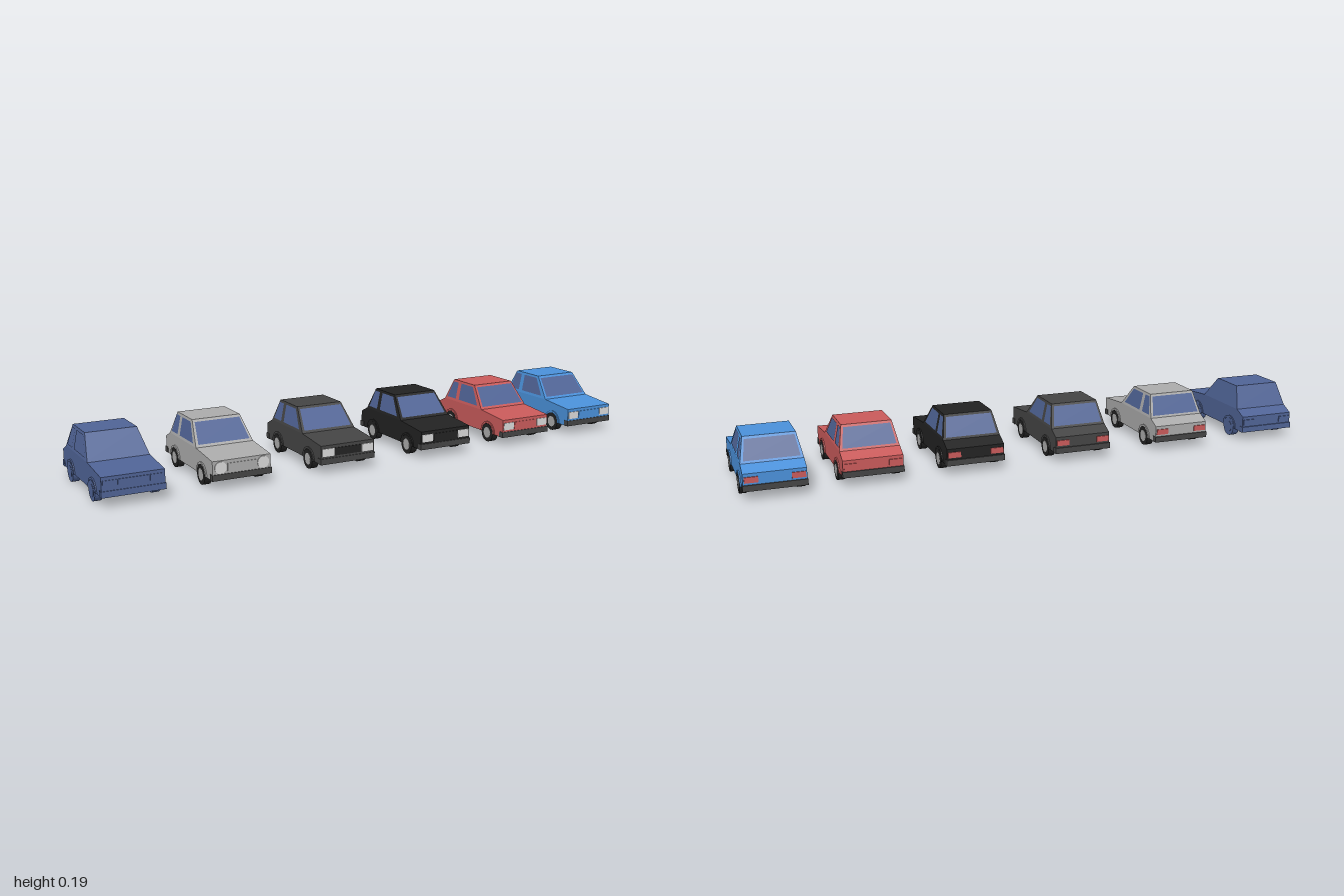
import * as THREE from 'three';

const material = (name, color) => {
  const m = new THREE.MeshStandardMaterial({ color, flatShading: true });
  m.name = name;
  return m;
};

export function createModel() {
  const glass = material('slate blue', 0x4f6395);
  const silver = material('silver', 0xaaaaaa);
  const charcoal = material('charcoal', 0x444444);
  const black = material('black', 0x222222);
  const red = material('red', 0xc85a5a);
  const blue = material('blue', 0x4a90d9);
  const lamp = material('lamp white', 0xd8d8d8);

  const beltY = 0.109, roofY = 0.187, wheelY = 0.0335, lift = 0.0015;
  const sideX = y => 0.1 - 0.016 * (y - beltY) / (roofY - beltY);

  // Lower body: side profile as (z, y), extruded across the width
  const profile = [[0.208, 0.032], [0.208, 0.096], [0.073, 0.109], [-0.165, 0.109], [-0.206, 0.089], [-0.206, 0.032]];
  const bodyGeo = new THREE.ExtrudeGeometry(
    new THREE.Shape(profile.map(p => new THREE.Vector2(...p))), { depth: 0.2, bevelEnabled: false });
  bodyGeo.rotateY(-Math.PI / 2).translate(0.1, 0, 0);

  // Cabin: box tapered towards the roof
  const cabinGeo = new THREE.BoxGeometry(2, 2, 2);
  const pos = cabinGeo.attributes.position;
  for (let i = 0; i < pos.count; i++) {
    const y = pos.getY(i) > 0 ? roofY : beltY;
    const front = pos.getZ(i) > 0;
    const z = y === roofY ? (front ? 0.005 : -0.127) : (front ? 0.073 : -0.165);
    pos.setXYZ(i, pos.getX(i) * sideX(y), y, z);
  }
  cabinGeo.computeVertexNormals();

  // Half-ring wheel arch, centred on the wheel
  const archShape = new THREE.Shape();
  archShape.absarc(0, 0, 0.041, 0, Math.PI, false);
  archShape.absarc(0, 0, 0.034, Math.PI, 0, true);
  const archGeo = new THREE.ExtrudeGeometry(archShape, { depth: 0.008, bevelEnabled: false, curveSegments: 12 });
  archGeo.rotateY(-Math.PI / 2).translate(0.004, 0, 0);

  const tyreGeo = new THREE.CylinderGeometry(0.0335, 0.0335, 0.024, 24).rotateZ(Math.PI / 2);
  const hubGeo = new THREE.CylinderGeometry(0.02, 0.02, 0.002, 20).rotateZ(Math.PI / 2);

  // Flat four-cornered pane, corners counter-clockwise from outside
  const paneGeo = corners => {
    const g = new THREE.BufferGeometry();
    const order = [0, 1, 2, 0, 2, 3];
    g.setAttribute('position', new THREE.Float32BufferAttribute(order.flatMap(i => corners[i]), 3));
    g.computeVertexNormals();
    const n = g.attributes.normal;
    return g.translate(n.getX(0) * lift, n.getY(0) * lift, n.getZ(0) * lift);
  };

  // Windscreen and rear window lie on the sloping cabin ends
  const endPane = (zBelt, zRoof, dir) => {
    const at = (side, y, inset) => [side * dir * (sideX(y) - inset), y,
      zBelt + (zRoof - zBelt) * (y - beltY) / (roofY - beltY)];
    return paneGeo([at(-1, 0.116, 0.009), at(1, 0.116, 0.009), at(1, 0.179, 0.007), at(-1, 0.179, 0.007)]);
  };
  const windscreenGeo = endPane(0.073, 0.005, 1);
  const rearWindowGeo = endPane(-0.165, -0.127, -1);

  // Side windows as (z, y) outlines, seen from the right
  const sideOutlines = {
    frontSideWindow: [[0.046, 0.118], [-0.074, 0.118], [-0.075, 0.179], [-0.001, 0.179]],
    rearSideWindow: [[-0.094, 0.118], [-0.149, 0.118], [-0.126, 0.179], [-0.094, 0.179]],
  };
  const sidePane = (outline, s) => {
    const c = outline.map(([z, y]) => [s * sideX(y), y, z]);
    return paneGeo(s > 0 ? c : c.reverse());
  };

  function createCar(name, paint, opts = {}) {
    const car = new THREE.Group();
    car.name = name;
    const add = (part, geo, mat, x = 0, y = 0, z = 0) => {
      const mesh = new THREE.Mesh(geo, opts.plain ? paint : mat);
      mesh.name = part;
      mesh.position.set(x, y, z);
      car.add(mesh);
    };
    const box = (part, mat, w, h, d, x, y, z) => add(part, new THREE.BoxGeometry(w, h, d), mat, x, y, z);

    add('lowerBody', bodyGeo, paint);
    add('cabin', cabinGeo, paint);
    add('windscreen', windscreenGeo, glass);
    add('rearWindow', rearWindowGeo, glass);

    // Bumpers wrap round the corners
    for (const s of [1, -1]) box(s > 0 ? 'frontBumper' : 'rearBumper', charcoal, 0.204, 0.02, 0.021, 0, 0.042, s * 0.2005);
    box('grille', opts.grille ?? paint, 0.098, 0.026, 0.003, 0, 0.072, 0.209);

    for (const s of [1, -1]) {
      for (const [part, outline] of Object.entries(sideOutlines)) add(part, sidePane(outline, s), glass);
      if (opts.roundLamps) {
        const g = new THREE.CylinderGeometry(0.02, 0.02, 0.004, 20).rotateX(Math.PI / 2);
        add('headlight', g, lamp, s * 0.073, 0.073, 0.209);
      } else box('headlight', lamp, 0.044, 0.026, 0.003, s * 0.074, 0.072, 0.209);
      box('tailLight', red, 0.044, 0.019, 0.004, s * 0.074, 0.0685, -0.2075);

      for (const z of [0.119, -0.118]) {
        add('wheelArch', archGeo, paint, s * 0.1, wheelY, z);
        add('tyre', tyreGeo, black, s * 0.0922, wheelY, z);
        add('hubcap', hubGeo, silver, s * 0.104, wheelY, z);
      }
    }
    return car;
  }

  // Row of six cars; the last is parked slightly further back
  const row = new THREE.Group();
  row.name = 'rowOfCars';
  const cars = [
    ['slateCar', glass, -0.895, { plain: true }],
    ['silverCar', silver, -0.541, { roundLamps: true }],
    ['charcoalCar', charcoal, -0.159, { grille: black }],
    ['blackCar', black, 0.23],
    ['redCar', red, 0.578],
    ['blueCar', blue, 0.895],
  ];
  for (const [name, paint, x, opts] of cars) {
    const car = createCar(name, paint, opts);
    car.position.set(x, 0, name === 'blueCar' ? -0.011 : 0.011);
    row.add(car);
  }
  return row;
}
